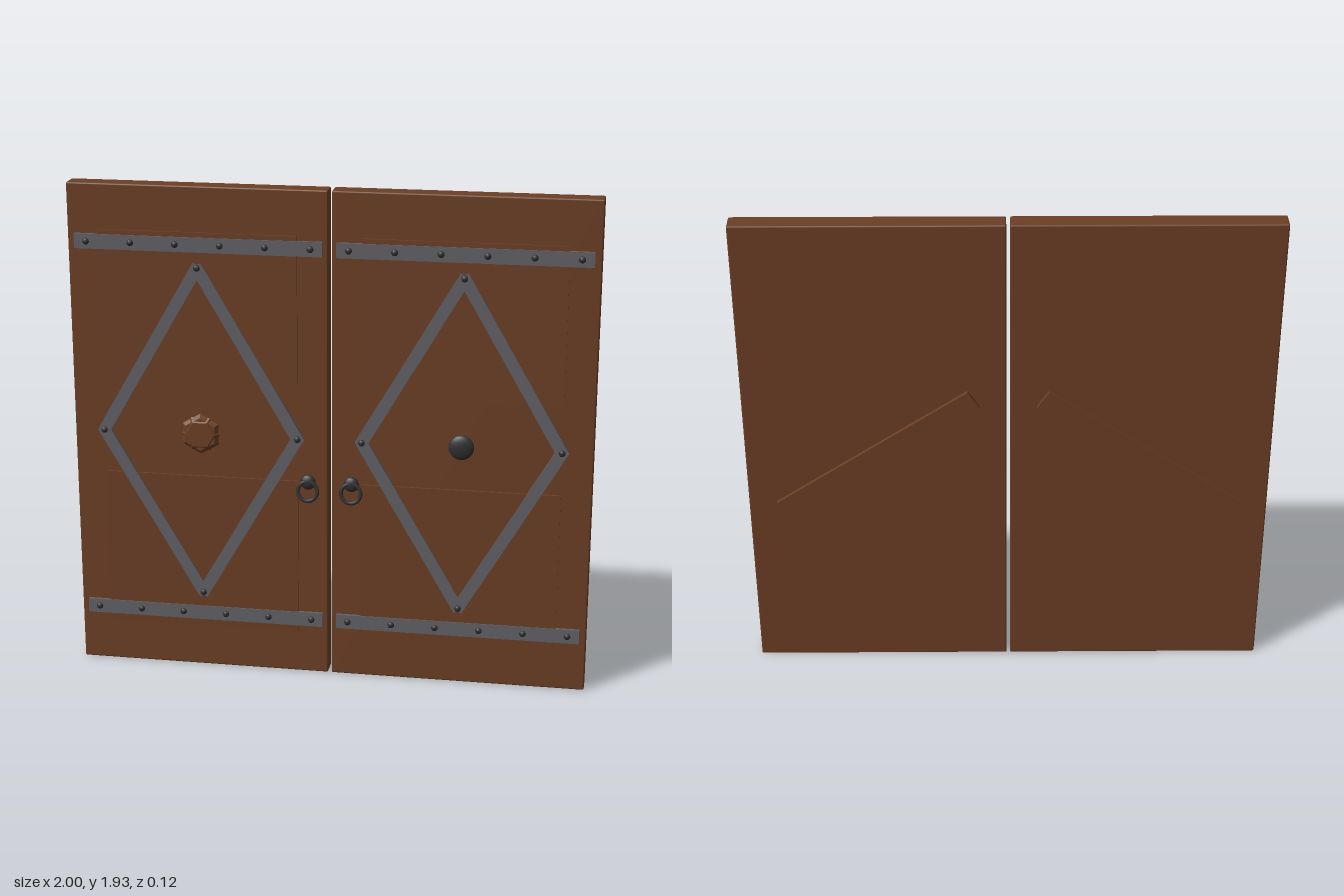
import * as THREE from 'three';
import { RoundedBoxGeometry } from 'three/addons/geometries/RoundedBoxGeometry.js';

const wood = new THREE.MeshStandardMaterial({ color: 0x6c3f25 });
wood.name = 'brownWood';
const iron = new THREE.MeshStandardMaterial({ color: 0x626167 });
iron.name = 'greyIron';
const darkIron = new THREE.MeshStandardMaterial({ color: 0x303032 });
darkIron.name = 'darkIron';

const FRONT = 0.033, BACK = -0.046;
const MID_X = 0.503, MID_Y = 0.97;

function add(parent, name, geometry, material, x, y, z) {
  const mesh = new THREE.Mesh(geometry, material);
  mesh.name = name;
  mesh.position.set(x, y, z);
  parent.add(mesh);
  return mesh;
}

// Box spanning z0..z1, centred on x, y
function slab(parent, name, material, x, y, w, h, z0, z1) {
  return add(parent, name, new THREE.BoxGeometry(w, h, z1 - z0), material, x, y, (z0 + z1) / 2);
}

// Domed nail head
function nail(parent, x, y) {
  const stud = add(parent, 'nail', new THREE.SphereGeometry(0.013, 10, 8), darkIron, x, y, 0.045);
  stud.scale.z = 0.75;
}

// Flat disc facing +z
function disc(parent, name, material, rFront, rBack, depth, sides, x, y, z) {
  const geometry = new THREE.CylinderGeometry(rFront, rBack, depth, sides);
  geometry.rotateX(Math.PI / 2);
  return add(parent, name, geometry, material, x, y, z + depth / 2);
}

// One door leaf; side is +1 for the left leaf and -1 for the right
function makeLeaf(side) {
  const leaf = new THREE.Group();
  leaf.name = side > 0 ? 'leftLeaf' : 'rightLeaf';
  const cx = side * MID_X;

  add(leaf, 'doorBoard', new RoundedBoxGeometry(0.993, 1.933, FRONT - BACK, 2, 0.006), wood,
    side * 0.5035, 0.9665, (FRONT + BACK) / 2);

  // Raised panels
  slab(leaf, 'upperPanel', wood, cx, 1.452, 0.76, 0.615, FRONT - 0.005, 0.041);
  slab(leaf, 'lowerPanel', wood, cx, 0.487, 0.76, 0.625, FRONT - 0.005, 0.041);

  // Horizontal straps with six nails each
  for (const y of [1.713, 0.227]) {
    slab(leaf, 'strap', iron, side * 0.5, y, 0.948, 0.057, FRONT - 0.005, 0.045);
    for (let i = 0; i < 6; i++) nail(leaf, side * (0.072 + i * 0.1712), y);
  }

  // Diamond of four bars
  const corners = [[0, 0.655], [0.379, 0], [0, -0.655], [-0.379, 0]];
  corners.forEach(([ax, ay], i) => {
    const [bx, by] = corners[(i + 1) % 4];
    const length = Math.hypot(bx - ax, by - ay) + 0.02;
    const bar = slab(leaf, 'diamondBar', iron, cx + (ax + bx) / 2, MID_Y + (ay + by) / 2,
      length, 0.046, FRONT - 0.005, 0.0445 + (i % 2) * 0.0006);
    bar.rotation.z = Math.atan2(by - ay, bx - ax);
    nail(leaf, cx + ax, MID_Y + ay);
  });

  // Ring pull: boss and tilted ring
  const pull = new THREE.Group();
  pull.name = 'ringPull';
  pull.position.set(side * 0.084, 0, 0);
  const boss = add(pull, 'pullBoss', new THREE.SphereGeometry(0.03, 16, 10), darkIron, 0, 0.797, 0.035);
  boss.scale.z = 0.55;
  const ring = add(pull, 'pullRing', new THREE.TorusGeometry(0.038, 0.0075, 8, 28), darkIron, 0, 0.764, 0.049);
  ring.rotation.x = -0.14;
  leaf.add(pull);

  // Diagonal brace on the back
  const brace = slab(leaf, 'backBrace', wood, side * 0.5, MID_Y - 0.002, 0.89, 0.08, -0.061, BACK + 0.005);
  brace.rotation.z = -side * 0.59;
  return leaf;
}

export function createModel() {
  const model = new THREE.Group();
  model.name = 'doubleDoor';
  const left = makeLeaf(1), right = makeLeaf(-1);
  model.add(left, right);

  // Round iron boss in the middle of the left leaf
  const dome = add(left, 'centreBoss', new THREE.SphereGeometry(0.049, 24, 12), darkIron, MID_X, MID_Y, 0.036);
  dome.scale.z = 0.38;

  // Carved wooden rosette of two crossed hexagons on the right leaf
  disc(right, 'rosetteBase', wood, 0.066, 0.083, 0.016, 6, -MID_X, MID_Y, FRONT - 0.002).material = wood;
  const top = disc(right, 'rosetteTop', wood, 0.055, 0.076, 0.02, 6, -MID_X, MID_Y, FRONT - 0.001);
  top.rotation.z = Math.PI / 6;
  for (const part of right.children) {
    if (part.name.startsWith('rosette')) {
      part.geometry = part.geometry.toNonIndexed();
      part.geometry.computeVertexNormals();
    }
  }
  return model;
}
